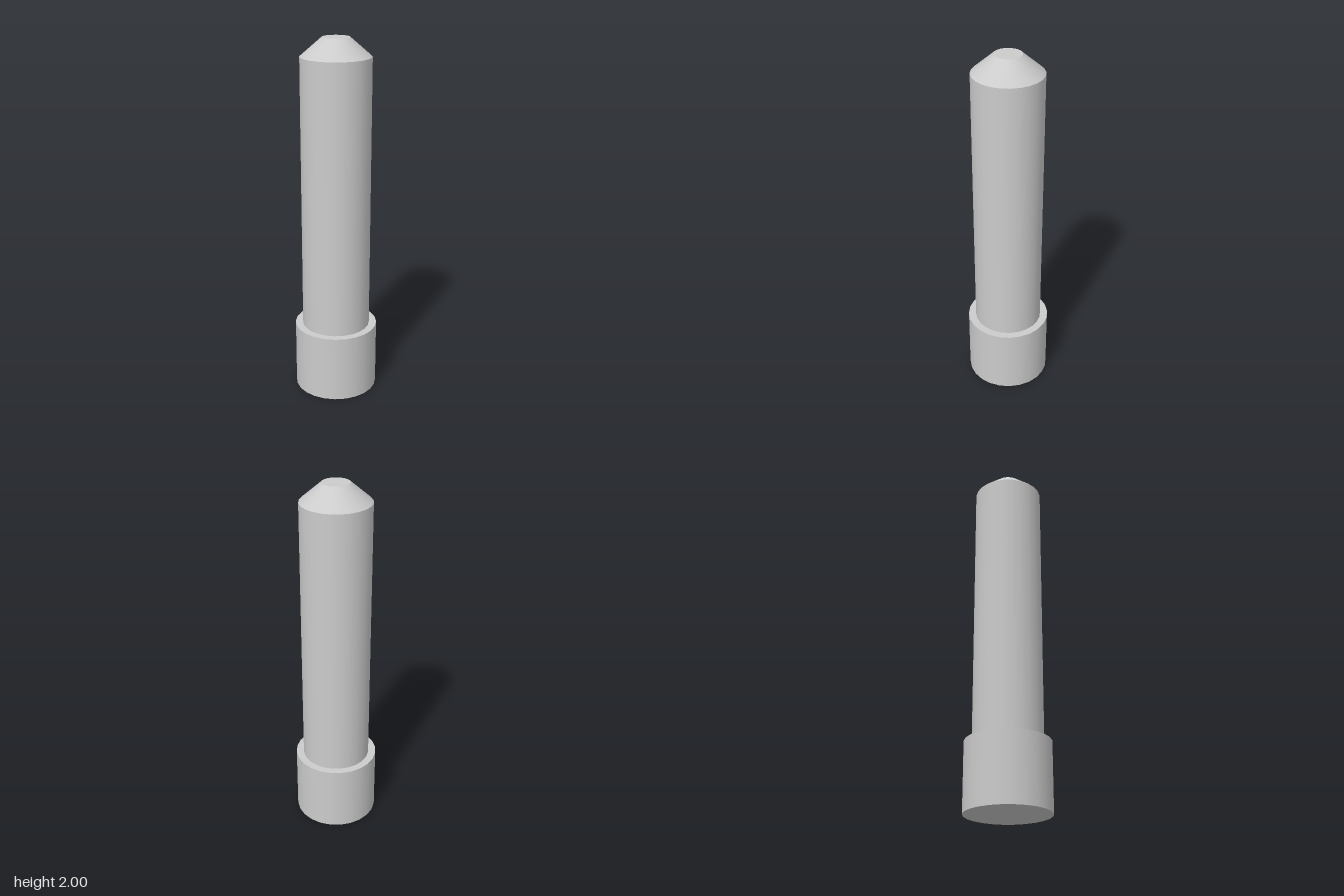
import * as THREE from 'three';

const SIDES = 24;

export function createModel() {
  const group = new THREE.Group();
  const material = new THREE.MeshStandardMaterial({ color: 0xcccccc });

  // Closed round section standing between two heights
  function addSection(name, topRadius, bottomRadius, y0, y1) {
    const geometry = new THREE.CylinderGeometry(topRadius, bottomRadius, y1 - y0, SIDES);
    const mesh = new THREE.Mesh(geometry, material);
    mesh.name = name;
    mesh.position.y = (y0 + y1) / 2;
    group.add(mesh);
  }

  addSection('baseCollar', 0.232, 0.232, 0, 0.38);
  addSection('shaft', 0.19, 0.19, 0.38, 1.9);
  addSection('taperedTip', 0.074, 0.19, 1.9, 2);

  return group;
}
